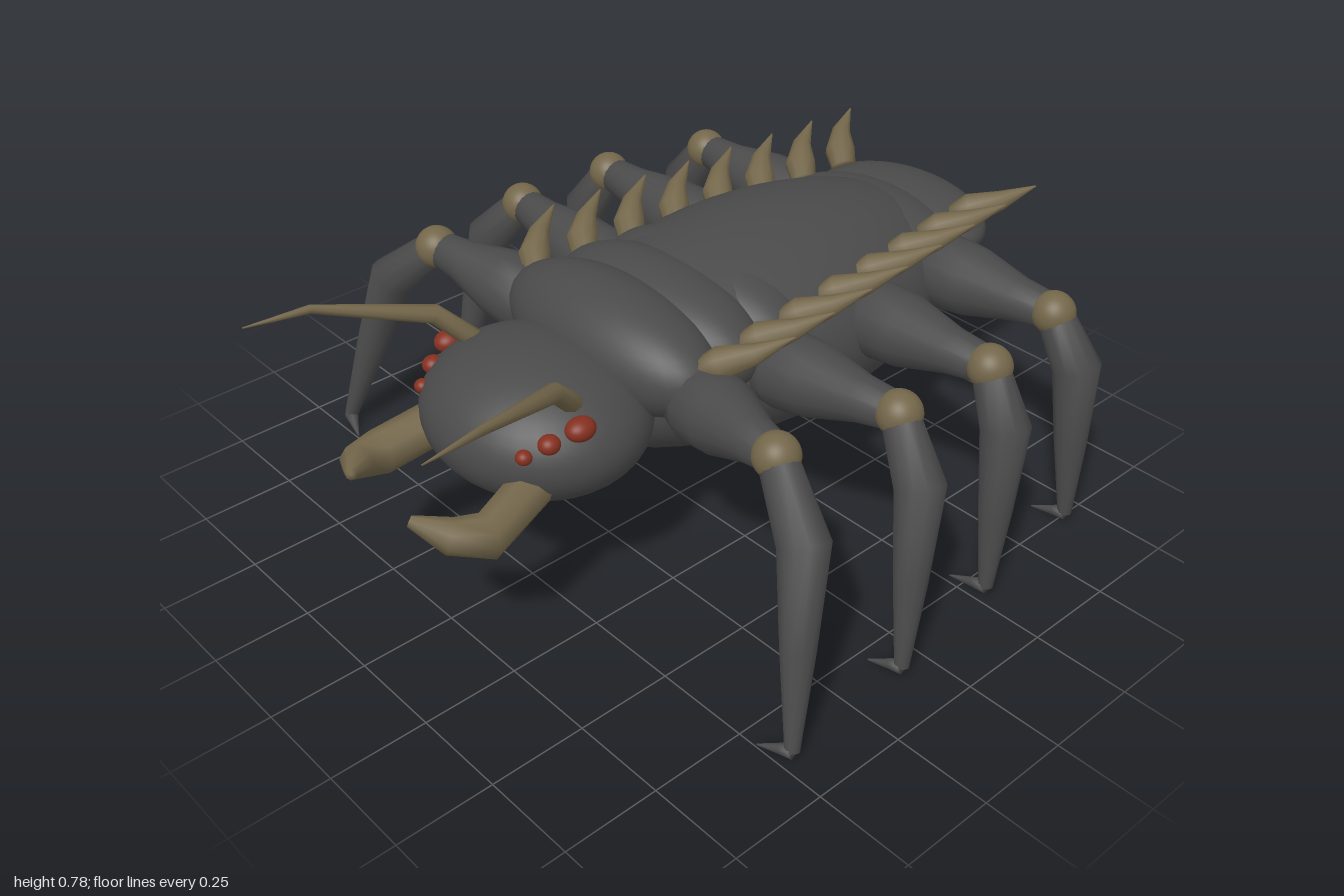
import * as THREE from 'three';

const mat = (name, color) => {
  const m = new THREE.MeshStandardMaterial({ color });
  m.name = name;
  return m;
};

// Tapered limb: circular cross-sections along points [x, y, z, radius], closed at both ends
function limbGeometry(points, sides = 12) {
  const P = points.map(p => new THREE.Vector3(p[0], p[1], p[2]));
  const R = points.map(p => p[3]);
  const last = P.length - 1;
  const pos = [], index = [];
  const n = new THREE.Vector3(0.13, 1, 0.21);
  const ring = (c, r, u, v) => {
    for (let j = 0; j < sides; j++) {
      const a = j / sides * Math.PI * 2;
      const q = c.clone().addScaledVector(u, Math.cos(a) * r).addScaledVector(v, Math.sin(a) * r);
      pos.push(q.x, q.y, q.z);
    }
  };
  P.forEach((c, i) => {
    const t = new THREE.Vector3();
    if (i > 0) t.add(c.clone().sub(P[i - 1]).normalize());
    if (i < last) t.add(P[i + 1].clone().sub(c).normalize());
    t.normalize();
    n.addScaledVector(t, -n.dot(t)).normalize();
    const v = t.clone().cross(n);
    if (i === 0) ring(c, 0, n, v);
    ring(c, R[i], n, v);
    if (i === last) ring(c, 0, n, v);
  });
  for (let i = 0; i < P.length + 1; i++) {
    for (let j = 0; j < sides; j++) {
      const a = i * sides + j, b = i * sides + (j + 1) % sides;
      index.push(a, b, b + sides, a, b + sides, a + sides);
    }
  }
  const g = new THREE.BufferGeometry();
  g.setAttribute('position', new THREE.Float32BufferAttribute(pos, 3));
  g.setIndex(index);
  g.computeVertexNormals();
  return g;
}

export function createModel() {
  const shell = mat('dark shell', 0x4a4a4a);
  const horn = mat('horn', 0x73664a);
  const red = mat('eye red', 0x84301f);
  const model = new THREE.Group();
  const lerp = THREE.MathUtils.lerp;

  const ellipsoid = (name, material, [x, y, z], [rx, ry, rz], parent = model) => {
    const m = new THREE.Mesh(new THREE.SphereGeometry(1, 36, 24), material);
    m.name = name;
    m.position.set(x, y, z);
    m.scale.set(rx, ry, rz);
    parent.add(m);
  };
  const limb = (name, material, points, side, parent = model, sides = 12) => {
    const m = new THREE.Mesh(limbGeometry(points.map(([x, y, z, r]) => [x * side, y, z, r]), sides), material);
    m.name = name;
    parent.add(m);
  };

  // Body and head
  ellipsoid('belly', shell, [0, 0.495, -0.25], [0.36, 0.265, 0.67]);
  ellipsoid('head', shell, [0, 0.495, 0.46], [0.3, 0.175, 0.265]);

  // Overlapping back plates, narrowing to the tail, each with a pair of spines
  const plates = 8;
  for (let i = 0; i < plates; i++) {
    const t = i / (plates - 1);
    const z = lerp(0.225, -0.82, t), rx = lerp(0.345, 0.27, t);
    const ry = lerp(0.15, 0.095, t) + 0.018 * Math.sin(t * Math.PI);
    ellipsoid('backPlate', shell, [0, lerp(0.6, 0.575, t), z], [rx, ry, lerp(0.16, 0.18, t)]);
    const bx = lerp(0.31, 0.205, t), bz = lerp(0.205, -0.81, t);
    for (const side of [1, -1]) {
      limb('backSpine', horn, [
        [bx, 0.635, bz, 0.035],
        [bx + 0.035, 0.665, bz - 0.02, 0.042],
        [bx + 0.085, 0.69, bz - 0.075, 0.026],
        [bx + 0.13, 0.72, bz - 0.16, 0.002],
      ], side, model, 10);
    }
  }

  // Legs: base, joint, knee, foot, claw tip
  const legs = [
    [[0.26, 0.545, 0.2], [0.63, 0.61, 0.29], [0.775, 0.48, 0.345], [0.88, 0.03, 0.465], [0.8, 0.01, 0.495]],
    [[0.26, 0.545, -0.03], [0.69, 0.6, -0.04], [0.8, 0.475, 0], [0.862, 0.03, 0.085], [0.78, 0.01, 0.11]],
    [[0.25, 0.545, -0.37], [0.695, 0.59, -0.355], [0.775, 0.465, -0.335], [0.81, 0.03, -0.285], [0.71, 0.01, -0.27]],
    [[0.2, 0.54, -0.69], [0.635, 0.58, -0.68], [0.725, 0.46, -0.68], [0.76, 0.03, -0.67], [0.67, 0.01, -0.65]],
  ];
  for (const [base, joint, knee, foot, tip] of legs) {
    const along = (f, r) => [...base.map((b, k) => lerp(b, joint[k], f)), r];
    for (const side of [1, -1]) {
      const leg = new THREE.Group();
      leg.name = side > 0 ? 'leftLeg' : 'rightLeg';
      limb('thigh', shell, [along(0, 0.085), along(0.2, 0.1), along(0.42, 0.092), along(0.75, 0.058), along(1, 0.045)], side, leg, 16);
      ellipsoid('joint', horn, [joint[0] * side, joint[1], joint[2]], [0.056, 0.056, 0.056], leg);
      limb('shin', shell, [
        [...joint, 0.046],
        [...knee, 0.062],
        [...knee.map((k, a) => lerp(k, foot[a], 0.5)), 0.042],
        [...foot, 0.018],
      ], side, leg);
      limb('claw', shell, [[...foot, 0.02], [...foot.map((f, a) => lerp(f, tip[a], 0.35)), 0.013], [...tip, 0.002]], side, leg, 8);
      model.add(leg);
    }
  }

  // Face: eyes, antennae and jaws
  for (const side of [1, -1]) {
    ellipsoid('largeEye', red, [0.25 * side, 0.593, 0.525], [0.032, 0.028, 0.038]);
    ellipsoid('middleEye', red, [0.222 * side, 0.568, 0.593], [0.026, 0.023, 0.027]);
    ellipsoid('smallEye', red, [0.195 * side, 0.543, 0.645], [0.02, 0.018, 0.02]);
    limb('antenna', horn, [
      [0.18, 0.6, 0.48, 0.026],
      [0.225, 0.7, 0.575, 0.024],
      [0.325, 0.775, 0.84, 0.011],
      [0.347, 0.78, 1, 0.002],
    ], side, model, 8);
    limb('jaw', horn, [
      [0.17, 0.455, 0.57, 0.055],
      [0.215, 0.4, 0.77, 0.056],
      [0.185, 0.425, 0.85, 0.043],
      [0.115, 0.455, 0.905, 0.014],
    ], side, model, 8);
  }
  return model;
}
